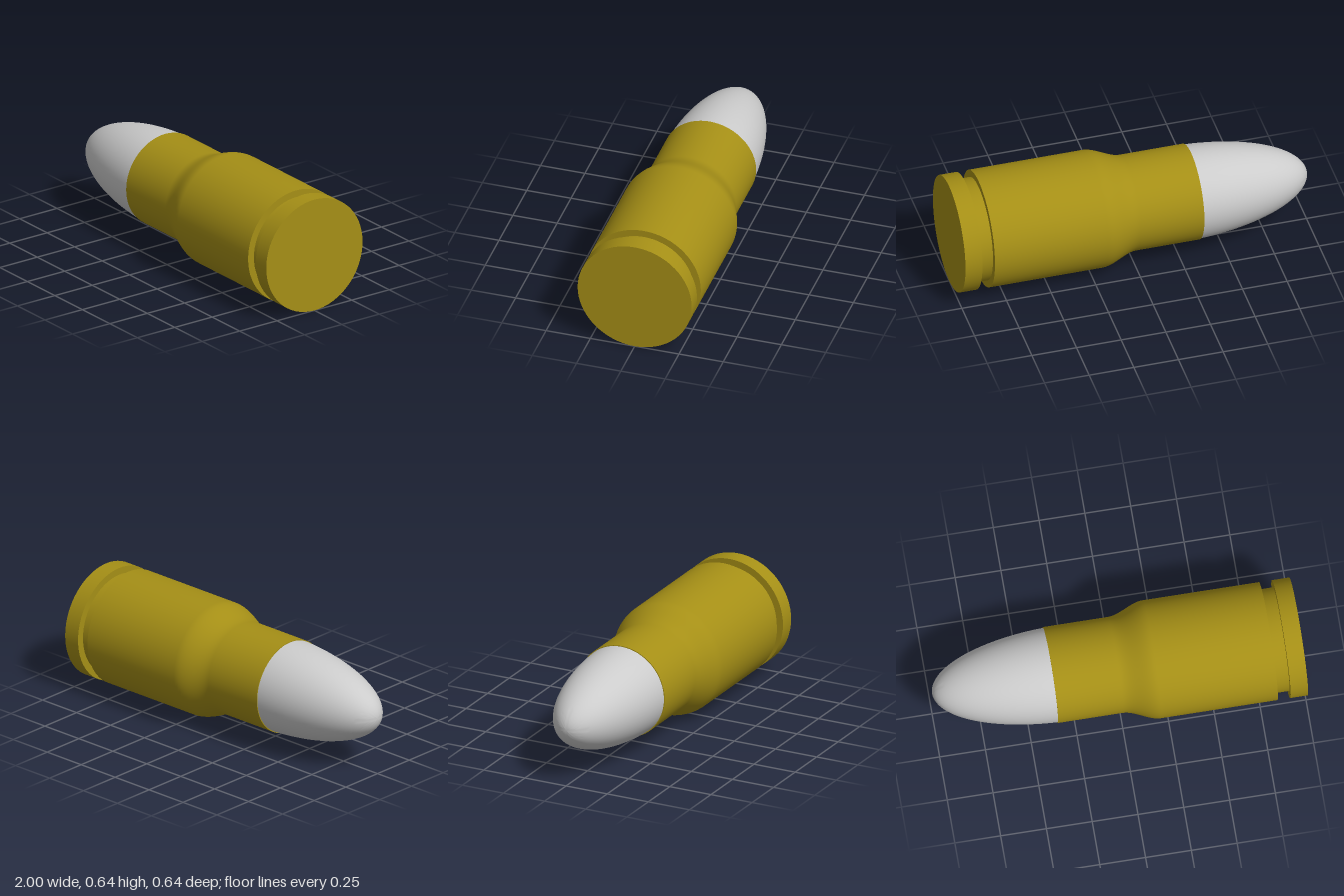
import * as THREE from 'three';
import { toCreasedNormals } from 'three/addons/utils/BufferGeometryUtils.js';

const R = 0.322;      // body radius
const NECK = 0.262;   // neck radius
const SIDES = 64;

// Turns a profile of [x, radius] pairs, listed from the base (+x) to the tip (-x).
function turned(name, profile, color) {
  const points = profile.map(([x, r]) => new THREE.Vector2(r, -x));
  const geometry = toCreasedNormals(new THREE.LatheGeometry(points, SIDES), 0.6);
  geometry.rotateZ(Math.PI / 2);
  geometry.translate(0, R, 0);
  const mesh = new THREE.Mesh(geometry, new THREE.MeshStandardMaterial({ color }));
  mesh.name = name;
  return mesh;
}

export function createModel() {
  const group = new THREE.Group();
  group.name = 'cartridge';

  // Case: flat base, rim, extractor groove, straight body
  const profile = [
    [1, 0], [1, R], [0.905, R], [0.905, 0.283], [0.835, 0.283], [0.835, R],
  ];
  // S-curved shoulder down to the neck
  const steps = 14;
  for (let i = 0; i <= steps; i++) {
    const t = i / steps;
    const s = t * t * (3 - 2 * t);
    profile.push([0.2 - 0.2 * t, R + (NECK - R) * s]);
  }
  // Open mouth with a thin lip
  profile.push([-0.355, NECK], [-0.355, 0.25]);
  group.add(turned('case', profile, 0xa58f16));

  // Bullet: half ellipse, seated slightly inside the mouth
  const centre = -0.28, length = 0.72, radius = 0.259;
  const ogive = [[centre, 0]];
  const rings = 28;
  for (let i = 0; i <= rings; i++) {
    const a = (i / rings) * Math.PI / 2;
    ogive.push([centre - length * Math.sin(a), i === rings ? 0 : radius * Math.cos(a)]);
  }
  group.add(turned('bullet', ogive, 0xcccccc));

  return group;
}
